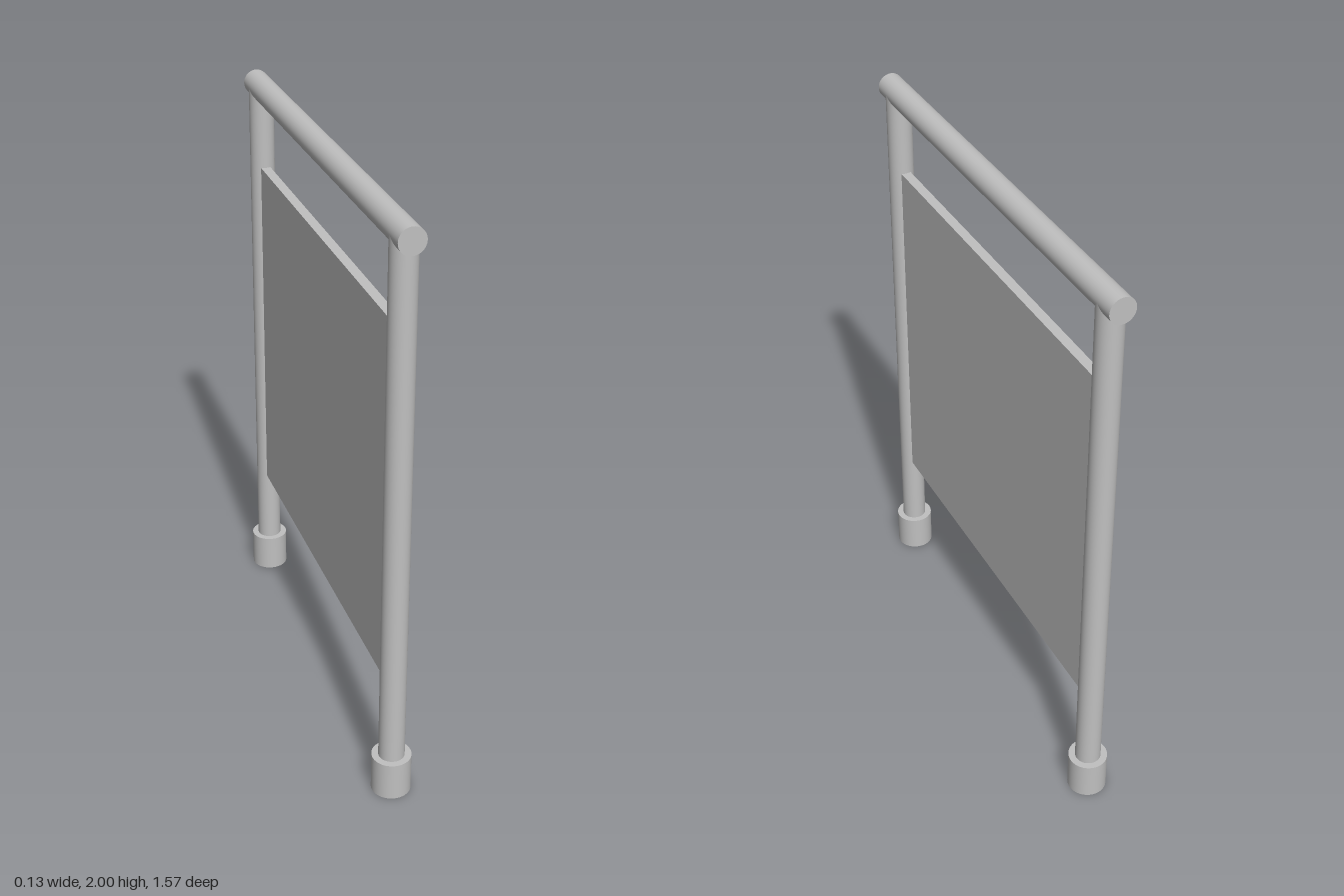
import * as THREE from 'three';

const TUBE_R = 0.0435, RAIL_Y = 2 - TUBE_R, POST_Z = 0.72, BASE_R = 0.066, BASE_H = 0.135;

export function createModel() {
  const model = new THREE.Group();
  model.name = 'railing';
  const metal = new THREE.MeshStandardMaterial({ color: 0xc0c0c0 });
  metal.name = 'grey metal';

  const add = (name, geometry, x, y, z) => {
    const mesh = new THREE.Mesh(geometry, metal);
    mesh.name = name;
    mesh.position.set(x, y, z);
    model.add(mesh);
    return mesh;
  };

  // Two upright posts, each standing in a collar
  const postGeo = new THREE.CylinderGeometry(TUBE_R, TUBE_R, RAIL_Y, 48);
  const baseGeo = new THREE.CylinderGeometry(BASE_R, BASE_R, BASE_H, 48);
  for (const [side, z] of [['front', POST_Z], ['back', -POST_Z]]) {
    add(side + 'Post', postGeo, 0, RAIL_Y / 2, z);
    add(side + 'Base', baseGeo, 0, BASE_H / 2, z);
  }

  // Handrail across the post tops
  const railGeo = new THREE.CylinderGeometry(TUBE_R, TUBE_R, 2 * (POST_Z + BASE_R), 48);
  railGeo.rotateX(Math.PI / 2);
  add('handrail', railGeo, 0, RAIL_Y, 0);

  // Infill panel between the posts
  add('panel', new THREE.BoxGeometry(0.034, 1.26, 1.36), 0, 1.045, 0);

  return model;
}
